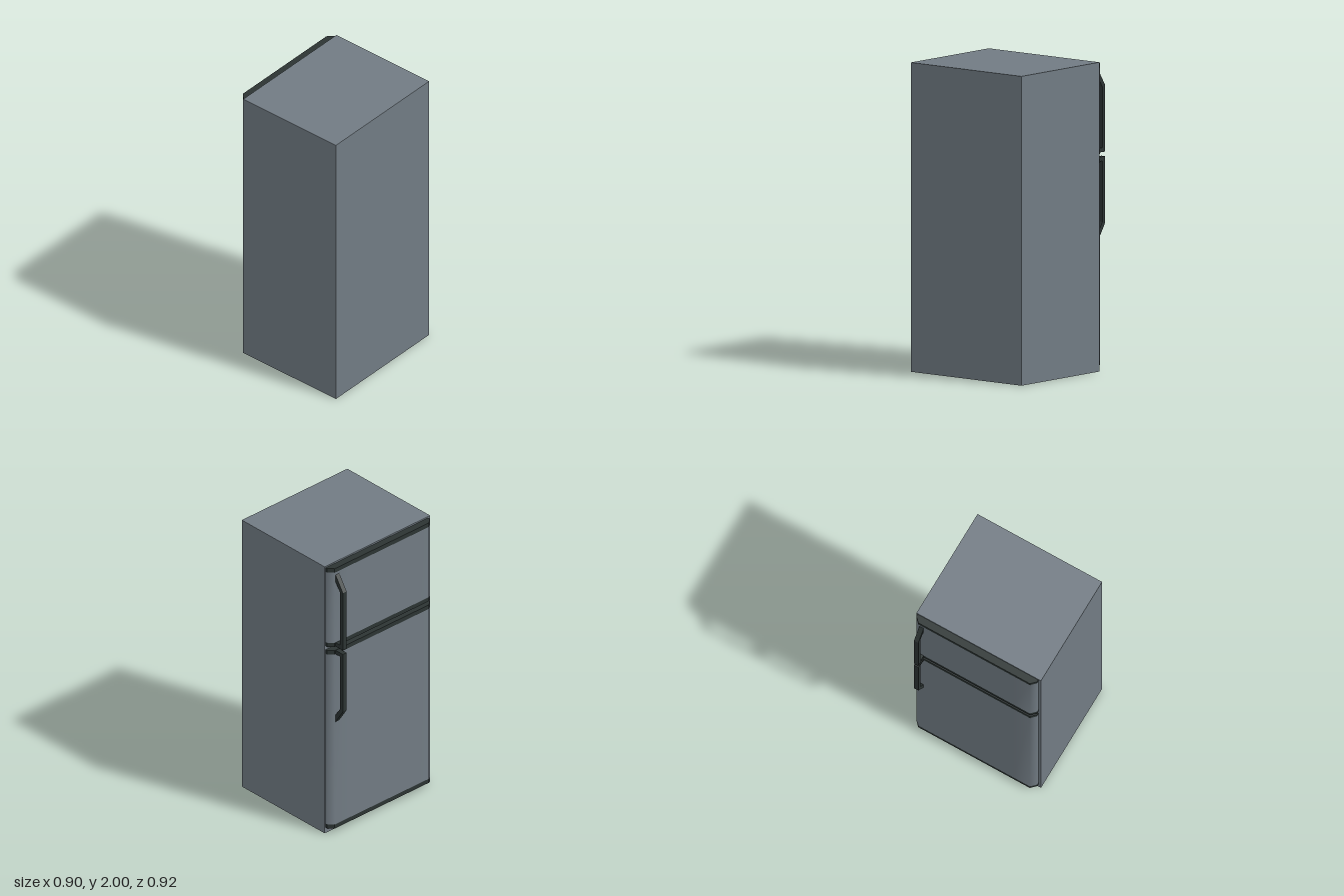
import * as THREE from 'three';

const grey = new THREE.MeshStandardMaterial({ color: 0x717b83 });
grey.name = 'slateGrey';
const dark = new THREE.MeshStandardMaterial({ color: 0x2c3433 });
dark.name = 'darkTrim';

// Door cross-section seen from above, as [x, z] from back edge to front edge
const profile = [
  [-0.33, -0.452], [-0.346, -0.452], [-0.38, -0.418], [-0.38, -0.3],
  [-0.38, 0.29], [-0.38, 0.406], [-0.346, 0.44], [-0.33, 0.44],
];

const toShape = (points) => new THREE.Shape(points.map(([a, b]) => new THREE.Vector2(a, b)));

function addMesh(parent, name, geometry, material) {
  const mesh = new THREE.Mesh(geometry, material);
  mesh.name = name;
  parent.add(mesh);
  return mesh;
}

// Smooth outer skin following the cross-section between two heights
function skinGeometry(y0, y1) {
  const geometry = new THREE.PlaneGeometry(1, 1, profile.length - 1, 1);
  const pos = geometry.attributes.position;
  for (let i = 0; i < pos.count; i++) {
    const [x, z] = profile[i % profile.length];
    pos.setXYZ(i, x, i < profile.length ? y1 : y0, z);
  }
  geometry.computeVertexNormals();
  return geometry;
}

// Solid dark strip capping the door at top or bottom
function trimGeometry(y0, y1) {
  const geometry = new THREE.ExtrudeGeometry(toShape(profile), { depth: y1 - y0, bevelEnabled: false });
  geometry.rotateX(Math.PI / 2);
  geometry.translate(0, y1, 0);
  return geometry;
}

function makeDoor(name, y0, y1, trim) {
  const door = new THREE.Group();
  door.name = name;
  addMesh(door, 'doorPanel', skinGeometry(y0 + trim, y1 - trim), grey);
  addMesh(door, 'bottomTrim', trimGeometry(y0, y0 + trim), dark);
  addMesh(door, 'topTrim', trimGeometry(y1 - trim, y1), dark);
  return door;
}

// Bracket handle: square foot at yFoot, slanted far end; dir is +1 upward, -1 downward
function makeHandle(name, yFoot, dir, length) {
  const outline = [
    [-0.37, 0], [-0.449, 0], [-0.449, length - 0.11], [-0.37, length + 0.012],
    [-0.37, length - 0.042], [-0.422, length - 0.118], [-0.422, 0.028], [-0.37, 0.028],
  ].map(([x, y]) => [x, yFoot + dir * y]);
  const geometry = new THREE.ExtrudeGeometry(toShape(outline), { depth: 0.032, bevelEnabled: false });
  geometry.translate(0, 0, -0.41);
  const mesh = new THREE.Mesh(geometry, dark);
  mesh.name = name;
  return mesh;
}

export function createModel() {
  const fridge = new THREE.Group();
  fridge.name = 'refrigerator';

  // Cabinet
  const cabinet = addMesh(fridge, 'cabinet', new THREE.BoxGeometry(0.778, 2, 0.92), grey);
  cabinet.position.set(0.058, 1, 0);

  // Freezer door above, main door below
  fridge.add(makeDoor('freezerDoor', 1.403, 1.99, 0.03));
  fridge.add(makeDoor('mainDoor', 0.04, 1.375, 0.03));

  // Handles meeting at the gap between the doors
  fridge.add(makeHandle('freezerHandle', 1.404, 1, 0.54));
  fridge.add(makeHandle('mainHandle', 1.374, -1, 0.54));

  return fridge;
}
